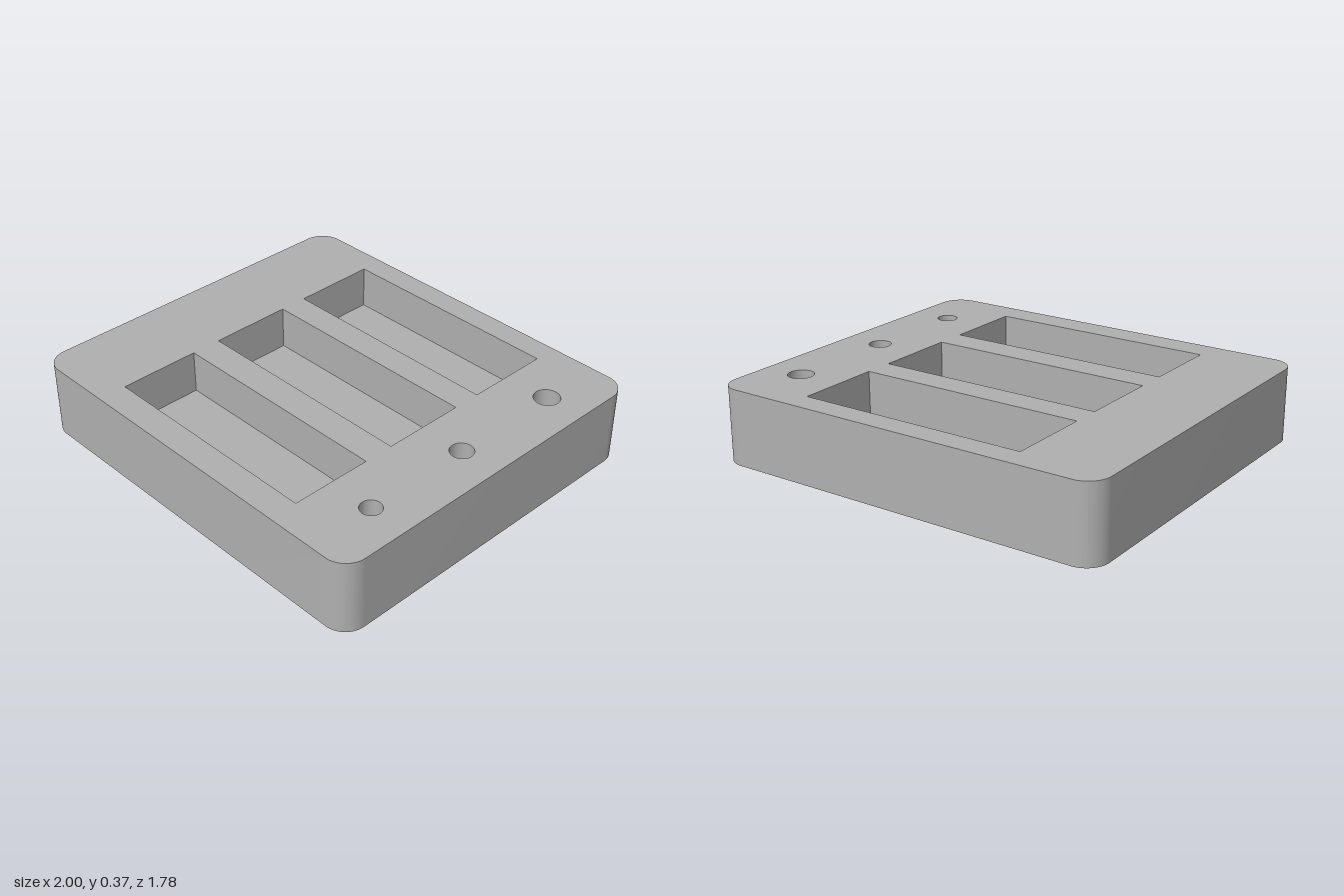
import * as THREE from 'three';
import { mergeGeometries, toCreasedNormals } from 'three/addons/utils/BufferGeometryUtils.js';

const HEIGHT = 0.365, FLOOR = 0.152;
const HALF_X = 1, HALF_Z = 0.89, CORNER = 0.11;

// Outlines lie in the (x, -z) plane: outer ones run counter-clockwise, holes clockwise.
function roundedOutline() {
  const s = new THREE.Shape();
  const x = HALF_X - CORNER, y = HALF_Z - CORNER;
  [[x, y], [-x, y], [-x, -y], [x, -y]].forEach(([cx, cy], i) =>
    s.absarc(cx, cy, CORNER, i * Math.PI / 2, (i + 1) * Math.PI / 2, false));
  return s;
}

function rectangle(x0, x1, z0, z1, Type) {
  const p = [[x0, -z0], [x1, -z0], [x1, -z1], [x0, -z1]].map(([x, y]) => new THREE.Vector2(x, y));
  return new Type(p);
}

function circle(x, z, r) {
  return new THREE.Path().absarc(x, -z, r, 0, Math.PI * 2, true);
}

// Flat face at height y, facing up or down
function cap(shape, y, down = false) {
  const g = new THREE.ShapeGeometry(shape, 16).rotateX(-Math.PI / 2).translate(0, y, 0);
  if (down) g.index.array.reverse();
  const flat = g.toNonIndexed();
  flat.deleteAttribute('uv');
  flat.computeVertexNormals();
  return flat;
}

// Vertical wall along an outline; clockwise outlines face inward
function wall(path, y0, y1) {
  const pts = path.getPoints(16).filter((p, i, all) =>
    p.distanceTo(all[(i + 1) % all.length]) > 1e-5);
  const pos = [];
  pts.forEach((a, i) => {
    const b = pts[(i + 1) % pts.length];
    pos.push(a.x, y0, -a.y, b.x, y0, -b.y, b.x, y1, -b.y);
    pos.push(a.x, y0, -a.y, b.x, y1, -b.y, a.x, y1, -a.y);
  });
  const g = new THREE.BufferGeometry();
  g.setAttribute('position', new THREE.Float32BufferAttribute(pos, 3));
  return toCreasedNormals(g, 0.6);
}

export function createModel() {
  const model = new THREE.Group();
  model.name = 'pocketedPlate';
  const grey = new THREE.MeshStandardMaterial({ color: 0xb0b0b0 });
  grey.name = 'grey';
  const add = (name, ...parts) => {
    const mesh = new THREE.Mesh(mergeGeometries(parts), grey);
    mesh.name = name;
    model.add(mesh);
  };

  const pockets = [[-0.77, -0.35], [-0.21, 0.2], [0.35, 0.75]];
  const holes = [[-0.56, 0.062], [0.005, 0.055], [0.55, 0.05]].map(([z, r]) => circle(0.8, z, r));

  // Body: top with all openings, bottom with the through holes only
  const top = roundedOutline(), bottom = roundedOutline();
  top.holes.push(...holes, ...pockets.map(([z0, z1]) => rectangle(-0.57, 0.57, z0, z1, THREE.Path)));
  bottom.holes.push(...holes);
  add('body', cap(top, HEIGHT), cap(bottom, 0, true), wall(roundedOutline(), 0, HEIGHT));

  // Blind rectangular pockets
  pockets.forEach(([z0, z1], i) => {
    const outline = rectangle(-0.57, 0.57, z0, z1, THREE.Shape);
    add(`pocket${i + 1}`, wall(outline, FLOOR, HEIGHT), cap(outline, FLOOR));
  });

  // Through holes of decreasing size
  holes.forEach((hole, i) => add(`throughHole${i + 1}`, wall(hole, 0, HEIGHT)));

  return model;
}
